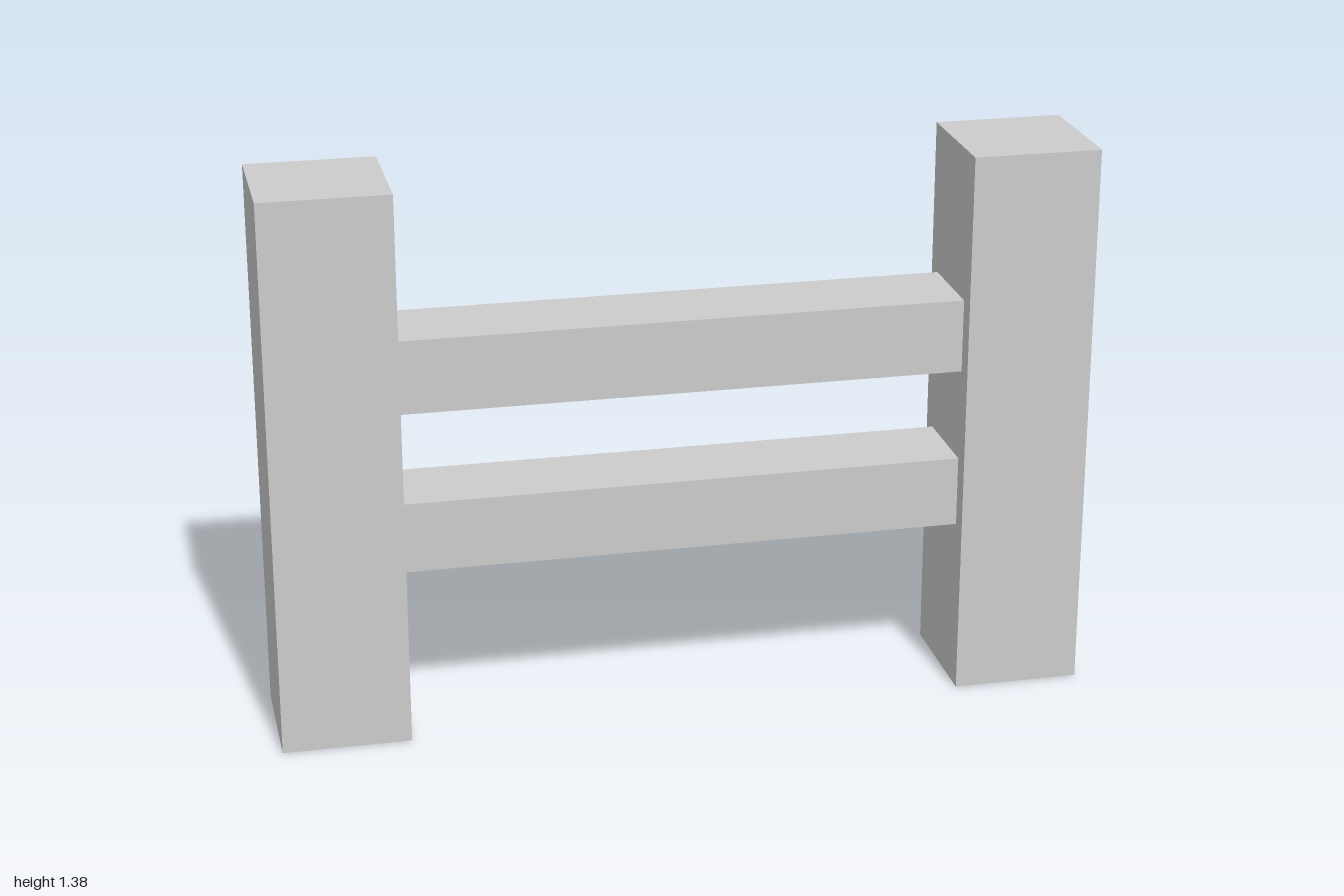
import * as THREE from 'three';

const POST_WIDTH = 0.313, POST_HEIGHT = 1.38;
const RAIL_DEPTH = 0.22;

export function createModel() {
  const group = new THREE.Group();
  const material = new THREE.MeshStandardMaterial({ color: 0xcccccc, flatShading: true });

  const addBox = (name, w, h, d, x, y) => {
    const mesh = new THREE.Mesh(new THREE.BoxGeometry(w, h, d), material);
    mesh.name = name;
    mesh.position.set(x, y, 0);
    group.add(mesh);
  };

  // Square posts at both ends
  for (const [name, side] of [['leftPost', 1], ['rightPost', -1]]) {
    addBox(name, POST_WIDTH, POST_HEIGHT, POST_WIDTH, side * (1 - POST_WIDTH / 2), POST_HEIGHT / 2);
  }

  // Horizontal rails spanning between the posts
  const span = 2 - 2 * POST_WIDTH;
  for (const [name, bottom, top] of [['lowerRail', 0.425, 0.6], ['upperRail', 0.828, 1.01]]) {
    addBox(name, span, top - bottom, RAIL_DEPTH, 0, (bottom + top) / 2);
  }

  return group;
}
